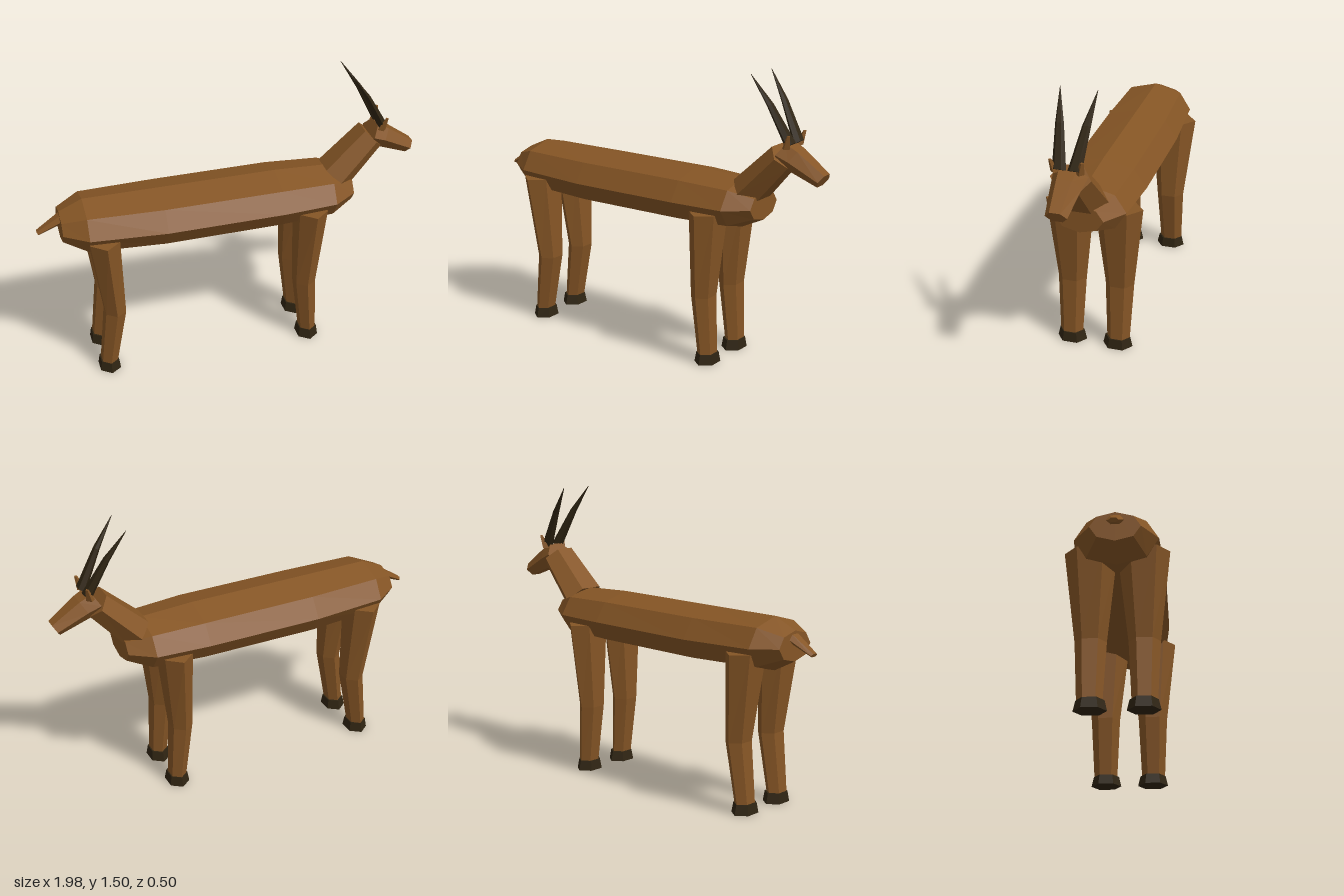
import * as THREE from 'three';

const coat = new THREE.MeshStandardMaterial({ color: 0x855525, flatShading: true });
coat.name = 'brown coat';
const horn = new THREE.MeshStandardMaterial({ color: 0x2f2412, flatShading: true });
horn.name = 'dark horn';

// Closed faceted loft. Rows are [x, y, z, halfThickness, halfWidthInZ];
// every section stands square to the axis (ax, ay).
function loft(name, material, [ax, ay], sides, rows) {
  const len = Math.hypot(ax, ay);
  const ux = -ay / len, uy = ax / len;
  const phase = sides === 6 ? Math.PI / 6 : 0;
  const k = 1 / Math.cos(phase);
  const pos = [], idx = [];
  for (const [x, y, z, h, w] of rows) {
    for (let i = 0; i < sides; i++) {
      const a = phase + (i / sides) * Math.PI * 2;
      const t = Math.cos(a) * h * k;
      pos.push(x + ux * t, y + uy * t, z + Math.sin(a) * w);
    }
  }
  const last = (rows.length - 1) * sides;
  for (let r = 0; r < last; r += sides) {
    for (let i = 0; i < sides; i++) {
      const j = (i + 1) % sides;
      idx.push(r + i, r + j, r + sides + j, r + i, r + sides + j, r + sides + i);
    }
  }
  for (let i = 1; i < sides - 1; i++) {
    idx.push(0, i + 1, i, last, last + i, last + i + 1);
  }
  const indexed = new THREE.BufferGeometry();
  indexed.setAttribute('position', new THREE.Float32BufferAttribute(pos, 3));
  indexed.setIndex(idx);
  const geometry = indexed.toNonIndexed();
  geometry.computeVertexNormals();
  const mesh = new THREE.Mesh(geometry, material);
  mesh.name = name;
  return mesh;
}

// Leg tapering to a hoof; x holds the top, knee and ankle centres
function leg(name, [top, knee, ankle], side) {
  const group = new THREE.Group();
  group.name = name;
  group.add(
    loft('shank', coat, [0, -1], 6, [
      [top, 0.8, side * 0.125, 0.075, 0.125],
      [knee, 0.355, side * 0.125, 0.052, 0.075],
      [ankle, 0.05, side * 0.125, 0.04, 0.06],
    ]),
    loft('hoof', horn, [0, -1], 6, [
      [ankle, 0.052, side * 0.122, 0.046, 0.066],
      [ankle, 0, side * 0.122, 0.053, 0.078],
    ]),
  );
  return group;
}

export function createModel() {
  const model = new THREE.Group();
  model.name = 'antelope';

  // Barrel-shaped trunk, narrowed at rump and chest
  model.add(loft('body', coat, [1, 0], 8, [
    [-0.88, 0.835, 0, 0.075, 0.12],
    [-0.76, 0.832, 0, 0.133, 0.2],
    [-0.37, 0.828, 0, 0.14, 0.222],
    [0.24, 0.836, 0, 0.138, 0.222],
    [0.52, 0.837, 0, 0.127, 0.2],
    [0.64, 0.84, 0, 0.073, 0.12],
  ]));

  // Neck, head and tail
  model.add(loft('neck', coat, [0.72, 0.69], 6, [
    [0.56, 0.905, 0, 0.08, 0.125],
    [0.755, 1.11, 0, 0.065, 0.1],
  ]));
  model.add(loft('head', coat, [0.86, -0.52], 6, [
    [0.75, 1.127, 0, 0.06, 0.085],
    [0.815, 1.1, 0, 0.055, 0.075],
    [0.967, 1.02, 0, 0.035, 0.053],
  ]));
  model.add(loft('tail', coat, [-0.13, -0.075], 6, [
    [-0.865, 0.877, 0, 0.022, 0.045],
    [-0.992, 0.806, 0, 0.01, 0.024],
  ]));

  // Mirrored parts
  for (const side of [1, -1]) {
    const label = side > 0 ? 'Near' : 'Far';
    model.add(loft('horn' + label, horn, [-0.19, 0.32], 6, [
      [0.805, 1.175, side * 0.037, 0.022, 0.034],
      [0.705, 1.36, side * 0.064, 0.013, 0.021],
      [0.61, 1.5, side * 0.09, 0.001, 0.001],
    ]));
    model.add(loft('ear' + label, coat, [0, 1], 4, [
      [0.795, 1.16, side * 0.06, 0.022, 0.022],
      [0.815, 1.228, side * 0.075, 0.008, 0.009],
    ]));
    model.add(leg('frontLeg' + label, [0.4, 0.377, 0.402], side));
    model.add(leg('hindLeg' + label, [-0.685, -0.645, -0.688], side));
  }
  return model;
}
